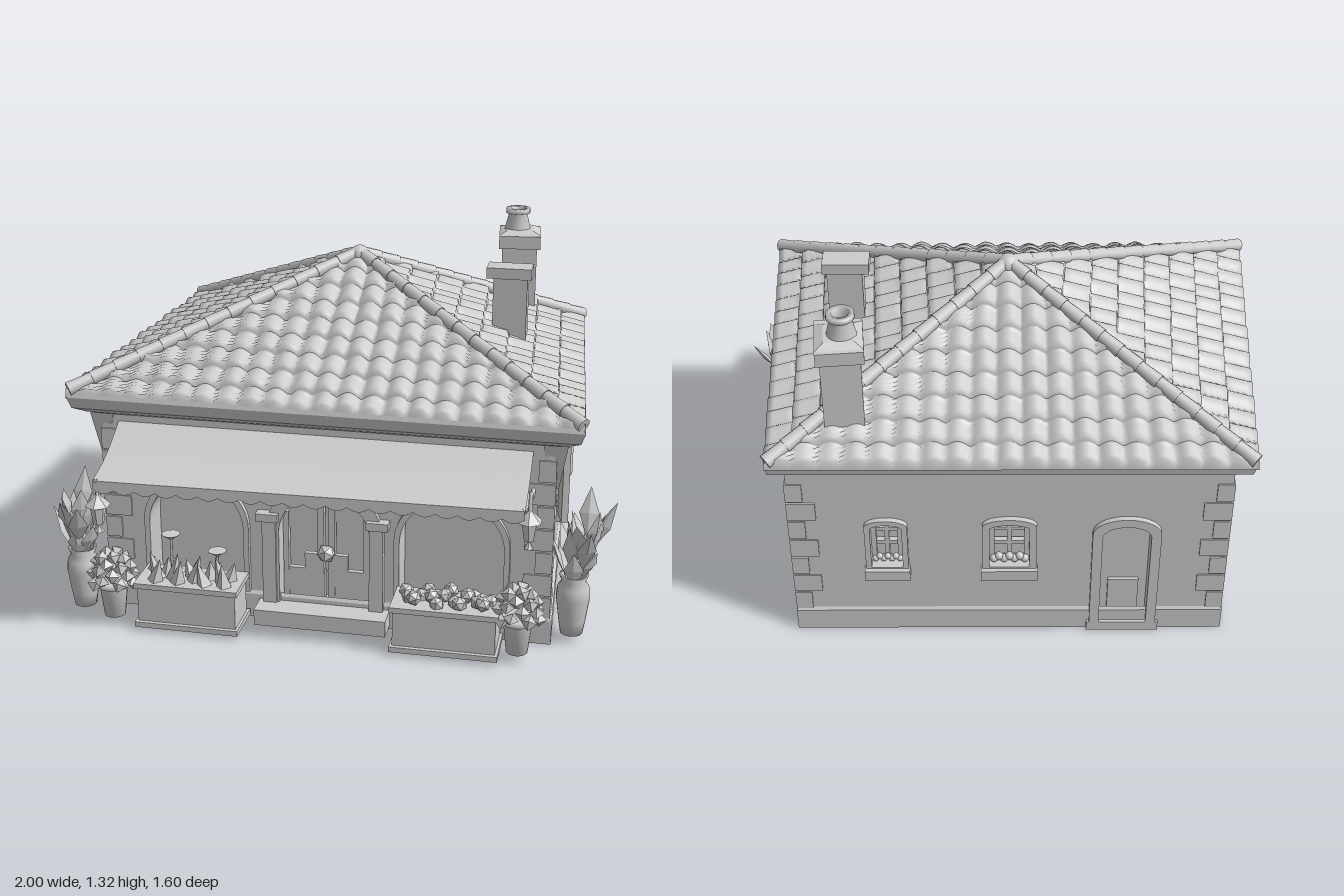
import * as THREE from 'three';

const grey = new THREE.MeshStandardMaterial({ color: 0xcccccc, side: THREE.DoubleSide });
const facet = new THREE.MeshStandardMaterial({ color: 0xcccccc, side: THREE.DoubleSide, flatShading: true });
const V = (x, y, z) => new THREE.Vector3(x, y, z);

function add(parent, name, geo, x = 0, y = 0, z = 0, mat = grey) {
  const m = new THREE.Mesh(geo, mat);
  m.name = name;
  m.position.set(x, y, z);
  parent.add(m);
  return m;
}
const box = (p, name, w, h, d, x, y, z) => add(p, name, new THREE.BoxGeometry(w, h, d), x, y, z);
function group(parent, name, x = 0, y = 0, z = 0) {
  const g = new THREE.Group();
  g.name = name;
  g.position.set(x, y, z);
  parent.add(g);
  return g;
}
const lathe = pts => new THREE.LatheGeometry(pts.map(p => new THREE.Vector2(...p)), 20);

// Grid surface from a rule p(i, j)
function sheet(ni, nj, p) {
  const pos = [], idx = [];
  for (let j = 0; j <= nj; j++) for (let i = 0; i <= ni; i++) pos.push(...p(i, j));
  for (let j = 0; j < nj; j++) for (let i = 0; i < ni; i++) {
    const a = j * (ni + 1) + i, b = a + ni + 1;
    idx.push(a, a + 1, b + 1, a, b + 1, b);
  }
  const g = new THREE.BufferGeometry();
  g.setAttribute('position', new THREE.Float32BufferAttribute(pos, 3));
  g.setIndex(idx);
  g.computeVertexNormals();
  return g;
}

// House plan, slightly narrower at the back; corners run front left, front right, back right, back left
const plan = (o = 0) => [[-0.83 - o, 0.48 + o / 2], [0.785 + o * 0.9, 0.48 + o / 2], [0.74 + o * 0.5, -0.725 - o / 2], [-0.785 - o * 0.55, -0.725 - o / 2]];
function band(rows) {
  return sheet(4, rows.length - 1, (i, j) => {
    const [x, z] = plan(rows[j][1])[i % 4];
    return [x, rows[j][0], z];
  });
}

// Arched outline standing on y0
function arch(x, y0, w, h, rise, Type = THREE.Shape) {
  const s = new Type();
  s.moveTo(x - w / 2, y0);
  s.lineTo(x + w / 2, y0);
  s.lineTo(x + w / 2, y0 + h - rise);
  s.absellipse(x, y0 + h - rise, w / 2, rise, 0, Math.PI, false);
  s.closePath();
  return s;
}
const extrude = (s, depth) => new THREE.ExtrudeGeometry(s, { depth, bevelEnabled: false, curveSegments: 16 });

// An opening's trim and recessed pane, in wall coordinates (z outward)
function opening(wall, name, [x, y0, w, h, rise], t, recess) {
  const trim = arch(x, y0 - t * 0.3, w + 2 * t, h + t * 1.3, rise + t * 0.6);
  trim.holes.push(arch(x, y0, w, h, rise, THREE.Path));
  add(wall, name + 'Trim', extrude(trim, recess + 0.02), 0, 0, -recess);
  add(wall, name + 'Pane', extrude(arch(x, y0, w, h, rise), 0.01), 0, 0, -recess);
}
function casement(wall, name, o, t, shutters) {
  const [x, y0, w, h] = o;
  opening(wall, name, o, t, 0.06);
  box(wall, name + 'Sill', w + 2 * t + 0.01, 0.045, 0.05, x, y0 - 0.03, 0.01);
  box(wall, name + 'Mullion', 0.016, h, 0.02, x, y0 + h / 2, -0.035);
  for (const k of [0.4, 0.72]) box(wall, name + 'Bar', w, 0.014, 0.02, x, y0 + h * k, -0.035);
  for (const s of [-1, 1]) {
    box(wall, name + 'Sash', 0.018, h * 0.85, 0.02, x + s * (w / 2 - 0.009), y0 + h * 0.43, -0.03);
    if (shutters) box(wall, name + 'Shutter', 0.11, 0.3, 0.025, x + s * (w / 2 + 0.075), y0 + 0.13, 0.022).rotation.y = -s * 0.2;
  }
  for (let i = 0; i < 7; i++) // flowers on the sill
    add(wall, name + 'Flower', new THREE.IcosahedronGeometry(w * 0.11, 1), x + (i - 3) * w * 0.13, y0 + 0.012 + 0.01 * (i % 2), -0.015);
}

// One tiled slope from eave ends a, b to the apex: overlapping rows of rounded tiles
function slope(a, b, apex) {
  const rows = 9, steps = [0, 0.03, 0.27, 0.5, 0.73, 0.97, 1], n = 6;
  const dir = b.clone().sub(a).normalize();
  return sheet(130, rows * n, (i, j) => {
    const r = Math.min(Math.floor(j / n), rows - 1), f = steps[j - r * n];
    const p = a.clone().lerp(b, i / 130).lerp(apex, (r + f) / rows);
    const s = p.clone().sub(apex).dot(dir);
    if (j > 0) {
      const wave = 0.022 * Math.abs(Math.cos(Math.PI * s / 0.085));
      const lap = j % n === 0 ? 0 : 0.02 * (1 - f);
      p.y += wave + lap + 0.004 * Math.sin(s * 23 + r * 2.1);
    }
    return p.toArray();
  });
}

// Tall vase with broad pointed leaves; lean shifts the foliage
function leafyPlant(parent, x, z, leanX, leanZ) {
  const g = group(parent, 'tallPlant', x, 0.04, z);
  add(g, 'vase', lathe([[0, 0], [0.04, 0], [0.048, 0.05], [0.06, 0.14], [0.056, 0.18], [0.042, 0.2], [0.052, 0.225], [0.04, 0.225], [0.03, 0.19]]));
  for (let i = 0; i < 18; i++) {
    const len = 0.14 + 0.025 * (i % 3), ang = i * 2.4, k = i / 17;
    const leaf = new THREE.OctahedronGeometry(1).scale(0.036, len / 2, 0.01).translate(0, len / 2, 0);
    const m = add(g, 'leaf', leaf, Math.sin(ang) * 0.03 + leanX * k, 0.19 + 0.14 * k, Math.cos(ang) * 0.035 + leanZ * k, facet);
    m.rotation.set(0.15 + 0.1 * (i % 5), ang, 0, 'YXZ');
  }
}
function bushyPlant(parent, x, z) {
  const g = group(parent, 'bushPlant', x, 0.04, z);
  add(g, 'pot', lathe([[0, 0], [0.038, 0], [0.05, 0.11], [0.058, 0.115], [0.058, 0.135], [0, 0.13]]));
  for (let i = 0; i < 26; i++) {
    const a = i * 2.4, k = i / 25, r = 0.072 * Math.sqrt(1 - k * k * 0.9);
    add(g, 'foliage', new THREE.OctahedronGeometry(0.028), Math.cos(a) * r, 0.13 + k * 0.11, Math.sin(a) * r, facet).rotation.set(a, i, 0);
  }
}
function lantern(parent, x, y, z) {
  const g = group(parent, 'lantern', x, y, z);
  add(g, 'lampGlass', new THREE.CylinderGeometry(0.03, 0.018, 0.07, 6), 0, 0, 0, facet);
  add(g, 'lampRoof', new THREE.ConeGeometry(0.046, 0.045, 6), 0, 0.057, 0, facet);
  add(g, 'lampFoot', new THREE.ConeGeometry(0.018, 0.03, 6), 0, -0.05, 0, facet);
  const path = new THREE.CatmullRomCurve3([V(0, 0.07, 0), V(0, 0.13, -0.02), V(0, 0.09, (0.48 - z) * 0.6), V(0, 0.11, 0.48 - z)]);
  add(g, 'lampBracket', new THREE.TubeGeometry(path, 16, 0.007, 6));
}

export function createModel() {
  const root = new THREE.Group();
  root.name = 'shopHouse';

  // Openings per wall: [x, bottom, width, height, arch rise]
  const door = [0.005, 0.08, 0.33, 0.44, 0.16];
  const arches = [[-0.467, 0.12, 0.35, 0.41, 0.17], [0.462, 0.12, 0.37, 0.41, 0.17]];
  const backDoor = [0.41, 0.03, 0.17, 0.49, 0.05];
  const holes = [
    [door, ...arches],
    [[0.045, 0.32, 0.23, 0.3, 0.05]],
    [[-0.43, 0.33, 0.11, 0.2, 0.02], [0, 0.33, 0.14, 0.2, 0.02], backDoor],
    [[-0.07, 0.32, 0.23, 0.3, 0.05]],
  ];
  const walls = ['front', 'right', 'back', 'left'].map((name, i) => {
    const a = plan()[i], b = plan()[(i + 1) % 4];
    const dx = b[0] - a[0], dz = b[1] - a[1], L = Math.hypot(dx, dz) / 2;
    const g = group(root, name + 'Wall', (a[0] + b[0]) / 2, 0, (a[1] + b[1]) / 2);
    g.rotation.y = Math.atan2(-dz, dx);
    const s = new THREE.Shape([[-L, 0.01], [L, 0.01], [L, 0.82], [-L, 0.82]].map(p => new THREE.Vector2(...p)));
    s.holes = holes[i].map(o => arch(...o, THREE.Path));
    add(g, name + 'Panel', extrude(s, 0.025), 0, 0, -0.025);
    return g;
  });

  // Windows and the back door
  casement(walls[1], 'rightWindow', holes[1][0], 0.05, true);
  casement(walls[3], 'leftWindow', holes[3][0], 0.05, true);
  casement(walls[2], 'smallWindow', holes[2][0], 0.02, false);
  casement(walls[2], 'kitchenWindow', holes[2][1], 0.025, false);
  opening(walls[2], 'backDoor', backDoor, 0.035, 0.05);
  box(walls[2], 'backDoorPanel', 0.11, 0.16, 0.015, 0.41, 0.14, -0.035);
  box(walls[2], 'backDoorStep', 0.26, 0.04, 0.03, 0.41, 0.03, 0.005);

  // Shop front: arches, double door, pilasters
  for (const o of arches) opening(walls[0], 'shopArch', o, 0.02, 0.11);
  opening(walls[0], 'shopDoor', door, 0.045, 0.09);
  for (const s of [-1, 1]) {
    const leaf = group(walls[0], 'doorLeaf', s * 0.08, 0, -0.05);
    box(leaf, 'leafBase', 0.15, 0.12, 0.02, 0, 0.14, 0);
    box(leaf, 'leafStep', 0.07, 0.06, 0.02, -s * 0.035, 0.23, 0);
    box(leaf, 'leafStile', 0.025, 0.4, 0.025, -s * 0.06, 0.3, 0);
    box(leaf, 'leafEdge', 0.02, 0.34, 0.025, s * 0.068, 0.25, 0);
    box(walls[0], 'pilaster', 0.05, 0.34, 0.035, s * 0.195, 0.25, 0.012);
    box(walls[0], 'capital', 0.08, 0.03, 0.05, s * 0.2, 0.42, 0.015);
  }
  add(root, 'doorOrnament', new THREE.IcosahedronGeometry(0.035, 0), -0.02, 0.27, 0.45, facet);
  box(root, 'doorStep', 0.48, 0.06, 0.1, -0.02, 0.055, 0.53);

  // Plinth, cornice, corner stones and front corbels
  add(root, 'plinth', band([[0.01, 0.015], [0.1, 0.015], [0.112, 0]]), 0, 0, 0, facet);
  add(root, 'cornice', band([[0.76, 0.002], [0.772, 0.05], [0.79, 0.095], [0.83, 0.11], [0.845, 0.1]]), 0, 0, 0, facet);
  plan().forEach(([x, z]) => {
    for (let i = 0; i < 7; i++) {
      const w = i % 2 ? 0.1 : 0.06, d = i % 2 ? 0.05 : 0.09;
      box(root, 'cornerStone', w, 0.078, d, x - Math.sign(x) * (w / 2 - 0.006), 0.15 + i * 0.086, z - Math.sign(z) * (d / 2 - 0.006));
    }
    if (z > 0) add(root, 'corbel', new THREE.CylinderGeometry(0.06, 0.02, 0.17, 4).rotateY(Math.PI / 4), x, 0.68, z - 0.035, facet);
  });

  // Hipped tiled roof with ridge caps
  const apex = V(-0.02, 1.215, -0.155);
  const eaves = [V(-0.945, 0.825, 0.53), V(0.885, 0.825, 0.53), V(0.795, 0.825, -0.79), V(-0.85, 0.825, -0.79)];
  eaves.forEach((a, i) => {
    add(root, 'tiledSlope', slope(a, eaves[(i + 1) % 4], apex));
    const end = apex.clone().setY(1.235), start = a.clone().setY(0.853).lerp(end, 0.012), n = 13;
    const dir = end.clone().sub(start), len = dir.length() / n;
    for (let k = 0; k < n; k++) {
      const p = start.clone().addScaledVector(dir, (k + 0.5) / n);
      add(root, 'ridgeCap', new THREE.CylinderGeometry(0.022, 0.026, len * 1.05, 10), p.x, p.y, p.z)
        .quaternion.setFromUnitVectors(V(0, 1, 0), dir.clone().normalize());
    }
  });
  add(root, 'finial', new THREE.SphereGeometry(0.04, 14, 10), -0.02, 1.22, -0.155);

  // Chimneys
  const chimney = group(root, 'chimney', 0.535, 0, -0.597);
  chimney.rotation.y = 0.1;
  box(chimney, 'chimneyShaft', 0.135, 0.36, 0.155, 0, 1.02, 0);
  box(chimney, 'chimneyCap', 0.16, 0.05, 0.19, 0, 1.21, 0);
  add(chimney, 'chimneyNeck', new THREE.CylinderGeometry(0.07, 0.113, 0.015, 4).rotateY(Math.PI / 4), 0, 1.242, 0, facet);
  add(chimney, 'chimneyPot', lathe([[0.052, 0], [0.036, 0.065], [0.047, 0.07], [0.047, 0.088], [0.028, 0.088], [0.028, 0.05]]), -0.01, 1.24, 0);
  box(root, 'flueShaft', 0.125, 0.3, 0.07, 0.555, 1.04, -0.115);
  box(root, 'flueCap', 0.165, 0.04, 0.09, 0.55, 1.2, -0.115);

  // Awning with scalloped valance
  const zEdge = x => 0.745 - 0.025 * x;
  add(root, 'awning', sheet(12, 6, (i, j) => {
    const x = -0.77 + 1.48 * i / 12, t = 1 - j / 6;
    return [x, 0.735 - 0.115 * t - 0.02 * Math.sin(Math.PI * t), 0.48 + (zEdge(x) - 0.48) * t];
  }));
  add(root, 'valance', sheet(160, 1, (i, j) => {
    const x = -0.77 + 1.48 * i / 160;
    return [x, j ? 0.62 : 0.588 - 0.014 * Math.abs(Math.sin(Math.PI * i / 8)), zEdge(x)];
  }));
  for (const x of [-0.76, 0.7]) {
    const arm = new THREE.CatmullRomCurve3([V(x, 0.58, 0.48), V(x, 0.57, 0.58), V(x, 0.62, zEdge(x))]);
    add(root, 'awningArm', new THREE.TubeGeometry(arm, 12, 0.007, 6));
  }
  lantern(root, -0.76, 0.49, 0.75);
  lantern(root, 0.715, 0.49, 0.59);

  // Flower boxes
  for (const [x, spiky] of [[-0.485, true], [0.44, false]]) {
    const g = group(root, 'flowerBox', x, 0, 0.59);
    box(g, 'planterBase', 0.38, 0.02, 0.18, 0, 0.035, 0);
    box(g, 'planter', 0.36, 0.14, 0.15, 0, 0.11, 0);
    box(g, 'planterRim', 0.38, 0.02, 0.17, 0, 0.185, 0);
    for (let i = 0; i < 16; i++) {
      const px = -0.15 + 0.02 * i, pz = [-0.04, 0.02, 0.045, -0.01][i % 4], h = spiky ? 0.06 + 0.016 * (i * 7 % 4) : 0.05;
      const geo = spiky ? new THREE.ConeGeometry(0.03, h, 4) : new THREE.IcosahedronGeometry(0.028, 0);
      add(g, 'bloom', geo, px, spiky ? 0.19 + h / 2 : 0.205 + 0.008 * (i % 3), pz, facet).rotation.z = spiky ? 0.3 * Math.sin(i * 2) : i;
    }
    if (spiky) for (const [px, h] of [[-0.07, 0.15], [0.1, 0.1]]) {
      add(g, 'stem', new THREE.CylinderGeometry(0.005, 0.005, h, 6), px, 0.2 + h / 2, 0);
      add(g, 'flowerHead', new THREE.ConeGeometry(0.035, 0.025, 8), px, 0.2 + h, 0, facet).rotation.x = Math.PI;
    }
  }

  // Potted plants
  leafyPlant(root, -0.905, 0.56, -0.01, 0.01);
  leafyPlant(root, 0.865, 0.43, 0.035, -0.03);
  bushyPlant(root, -0.77, 0.62);
  bushyPlant(root, 0.69, 0.61);
  return root;
}
